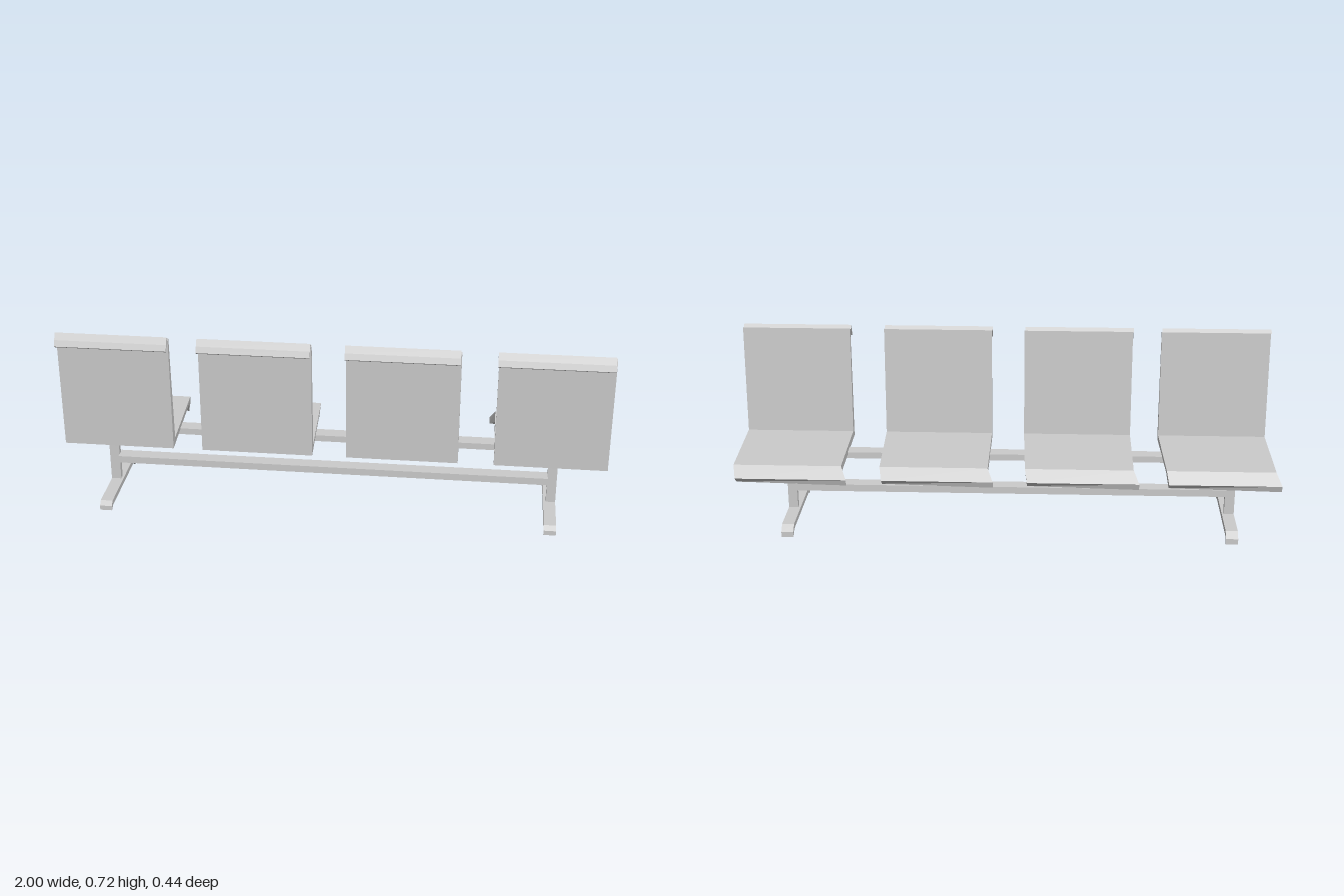
import * as THREE from 'three';

const material = new THREE.MeshStandardMaterial({ color: 0xcccccc, flatShading: true, side: THREE.DoubleSide });

// Sweep a side profile of [z, y] points from x0 to x1
function sweep(points, x0, x1) {
  const shape = new THREE.Shape(points.map(([z, y]) => new THREE.Vector2(z, y)));
  const geo = new THREE.ExtrudeGeometry(shape, { depth: x1 - x0, bevelEnabled: false });
  geo.rotateY(-Math.PI / 2);
  geo.translate(x1, 0, 0);
  return geo;
}

function add(parent, name, geo) {
  const mesh = new THREE.Mesh(geo, material);
  mesh.name = name;
  parent.add(mesh);
  return mesh;
}

function box(parent, name, x0, x1, y0, y1, z0, z1) {
  const geo = new THREE.BoxGeometry(x1 - x0, y1 - y0, z1 - z0);
  geo.translate((x0 + x1) / 2, (y0 + y1) / 2, (z0 + z1) / 2);
  return add(parent, name, geo);
}

const SEAT_WIDTH = 0.405;

// One L-shaped shell with a tapering back and a drooping front lip
const SHELL = [
  [0.191, 0.272], [0.193, 0.703], [0.179, 0.706], [0.157, 0.3], [-0.185, 0.3],
  [-0.218, 0.259], [-0.19, 0.235], [-0.154, 0.276],
];
// Thin flap folded backwards over the top of the back
const FLAP = [
  [0.179, 0.705], [0.193, 0.717], [0.209, 0.694], [0.219, 0.673], [0.215, 0.669], [0.193, 0.703],
];
const FOOT = [
  [0.22, 0.01], [0.22, 0.028], [0.203, 0.042], [-0.138, 0.042],
  [-0.163, 0.021], [-0.163, 0], [-0.135, 0.022], [0.199, 0.022],
];

function shellGeometry() {
  const geo = sweep(SHELL, 0, SEAT_WIDTH);
  const p = geo.attributes.position;
  for (let i = 0; i < p.count; i++) {
    const x = p.getX(i), y = p.getY(i), z = p.getZ(i);
    const rightEnd = x < SEAT_WIDTH / 2;
    // the lip sits slightly sideways, and its underside is twisted
    if (z < -0.186) p.setX(i, x - 0.02);
    else if (z < -0.1 && !rightEnd) p.setX(i, x - 0.012);
    if (z < -0.186 && y < 0.25 && rightEnd) p.setZ(i, z - 0.02);
    if (z < -0.1 && z > -0.16) p.setY(i, y + (rightEnd ? -0.005 : 0.005));
  }
  geo.computeVertexNormals();
  return geo;
}

export function createModel() {
  const bench = new THREE.Group();
  bench.name = 'beamBench';

  // Four seats
  const shell = shellGeometry();
  const flap = sweep(FLAP, -0.003, SEAT_WIDTH - 0.003);
  [-0.98, -0.468, 0.06, 0.594].forEach((x, i) => {
    const seat = new THREE.Group();
    seat.name = `seat${i + 1}`;
    seat.position.x = x;
    add(seat, 'seatShell', shell);
    add(seat, 'backrestFlap', flap);
    bench.add(seat);
  });

  // Beam under the seats and lower cross bar
  box(bench, 'seatBeam', -0.92, 0.89, 0.256, 0.28, -0.006, 0.046);
  box(bench, 'crossBar', -0.826, 0.798, 0.12, 0.147, -0.006, 0.046);

  // Legs with cranked feet
  for (const [side, x0, x1, f0, f1] of [
    ['right', -0.862, -0.825, -0.862, -0.817],
    ['left', 0.797, 0.832, 0.787, 0.832],
  ]) {
    box(bench, `${side}Leg`, x0, x1, 0.04, 0.258, 0.011, 0.032);
    add(bench, `${side}Foot`, sweep(FOOT, f0, f1));
  }
  return bench;
}
